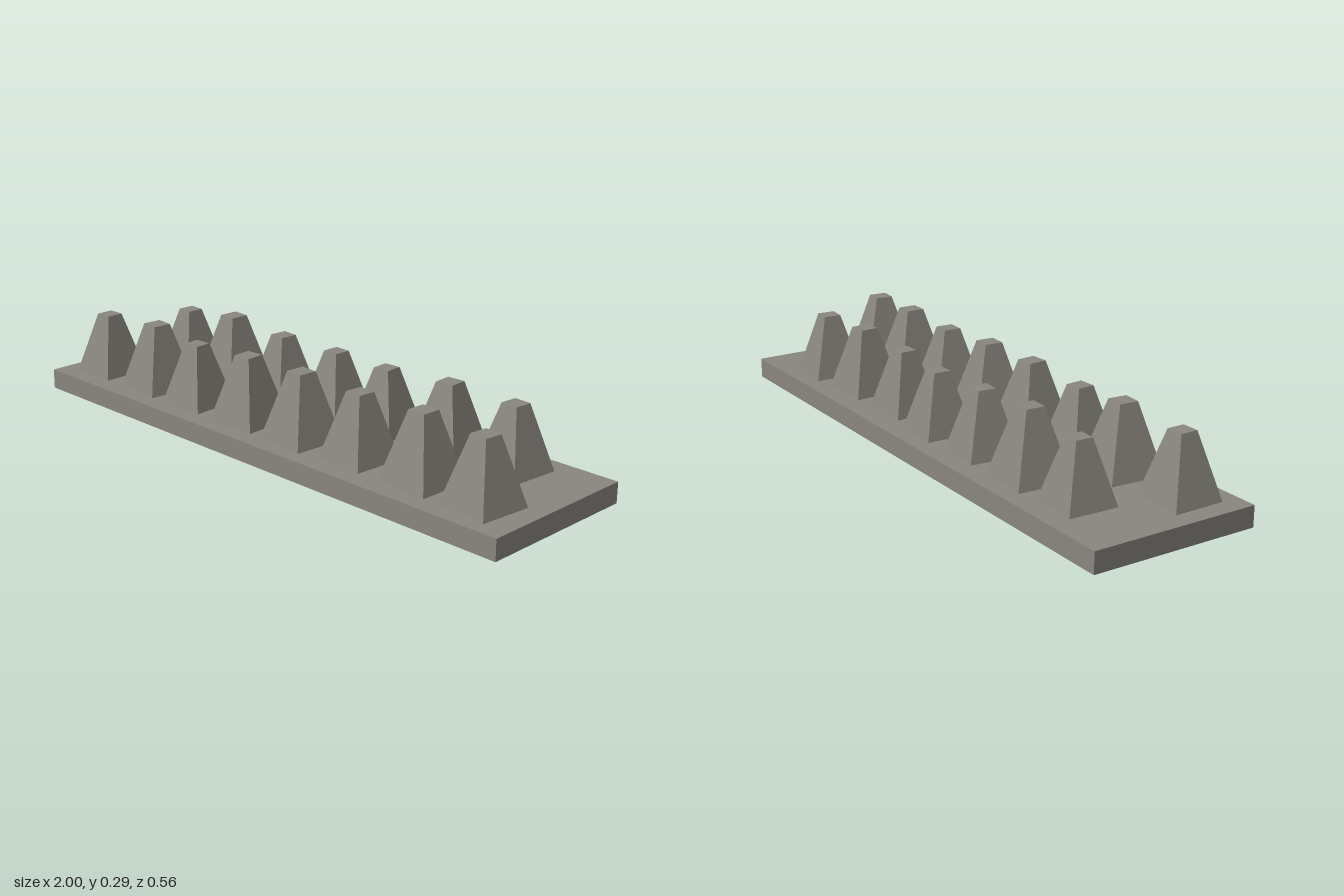
import * as THREE from 'three';

const BASE_HEIGHT = 0.068;

// One row per stud: x, z, top height, turn about y
const BACK_ROW = [
  [-0.72, -0.126, 0.268, -0.04],
  [-0.49, -0.128, 0.292, -0.06],
  [-0.24, -0.126, 0.276, -0.09],
  [-0.005, -0.139, 0.27, -0.04],
  [0.233, -0.121, 0.273, 0.06],
  [0.487, -0.126, 0.287, 0.06],
  [0.73, -0.134, 0.278, -0.08],
];
const FRONT_ROW = [
  [-0.85, 0.134, 0.276, 0.01],
  [-0.597, 0.126, 0.291, -0.08],
  [-0.374, 0.139, 0.273, 0.06],
  [-0.128, 0.134, 0.288, 0.06],
  [0.11, 0.131, 0.29, -0.08],
  [0.35, 0.123, 0.281, -0.06],
  [0.602, 0.126, 0.29, -0.03],
  [0.837, 0.136, 0.283, -0.1],
];

// Unit-high square frustum standing on y = 0, with flat faces
function makeStudGeometry() {
  const bottom = 0.82 / Math.SQRT2;
  const geometry = new THREE.CylinderGeometry(bottom * 0.34, bottom, 1, 4)
    .rotateY(Math.PI / 4)
    .translate(0, 0.5, 0)
    .toNonIndexed();
  geometry.computeVertexNormals();
  return geometry;
}

export function createModel() {
  const model = new THREE.Group();
  model.name = 'studdedSlab';
  const stone = new THREE.MeshStandardMaterial({ color: 0x8a867f });
  stone.name = 'warm grey stone';

  // Flat slab
  const slab = new THREE.Mesh(new THREE.BoxGeometry(2, BASE_HEIGHT, 0.56), stone);
  slab.name = 'baseSlab';
  slab.position.y = BASE_HEIGHT / 2;
  model.add(slab);

  // Two staggered rows of tapered studs
  const studGeometry = makeStudGeometry();
  const addRow = (name, studs) => {
    const row = new THREE.Group();
    row.name = name;
    studs.forEach(([x, z, top, turn], i) => {
      const stud = new THREE.Mesh(studGeometry, stone);
      stud.name = `${name}Stud${i + 1}`;
      stud.position.set(x, BASE_HEIGHT, z);
      stud.rotation.y = turn;
      stud.scale.setScalar(top - BASE_HEIGHT);
      row.add(stud);
    });
    model.add(row);
  };
  addRow('backRow', BACK_ROW);
  addRow('frontRow', FRONT_ROW);

  return model;
}
